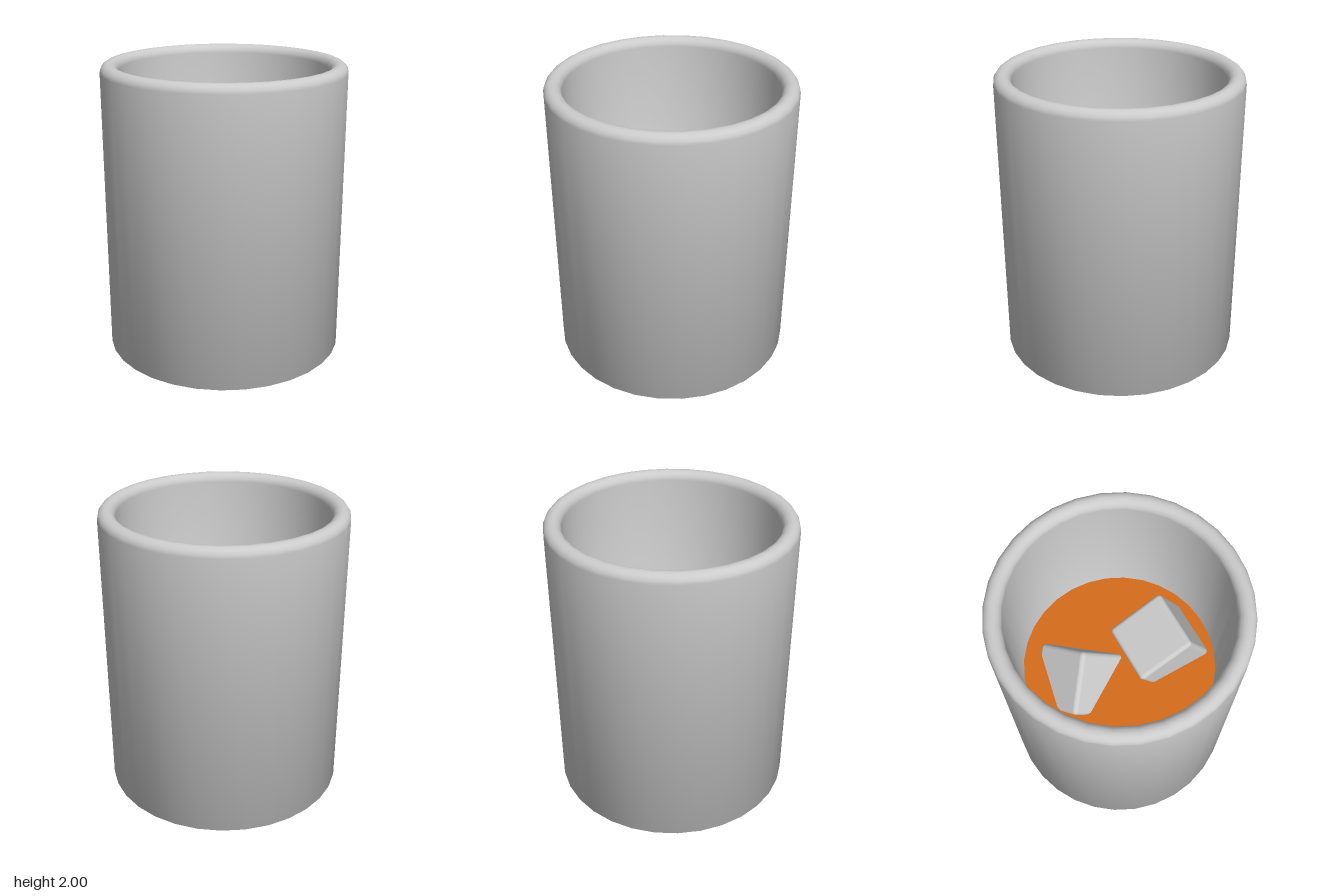
import * as THREE from 'three';
import { RoundedBoxGeometry } from 'three/addons/geometries/RoundedBoxGeometry.js';

const SIDES = 32;
const FLOOR = 0.12, LEVEL = 1.0;        // inner floor and liquid surface
const OUTER = 0.822, RIM = 0.058;       // outer radius, radius of the rounded rim
const SKEW = { x: 0.034, z: -0.028 };   // the cavity leans slightly off centre at its floor

const grey = () => new THREE.MeshStandardMaterial({ color: 0xcccccc });

function lathe(points) {
  return new THREE.LatheGeometry(points.map(([r, y]) => new THREE.Vector2(r, y)), SIDES);
}

// Thick-walled tumbler with a rounded lip and a tapering cavity
function buildGlass() {
  const profile = [[0, 0], [OUTER, 0]];
  const rimSteps = 8;
  for (let i = 0; i <= rimSteps; i++) {
    const a = (i / rimSteps) * Math.PI;
    profile.push([OUTER - RIM + RIM * Math.cos(a), 2 - RIM + RIM * Math.sin(a)]);
  }
  profile.push([0.64, FLOOR], [0, FLOOR]);
  const geo = lathe(profile);
  const p = geo.attributes.position;
  for (let i = 0; i < p.count; i++) {
    if (Math.abs(p.getY(i) - FLOOR) < 1e-4) {
      p.setX(i, p.getX(i) + SKEW.x);
      p.setZ(i, p.getZ(i) + SKEW.z);
    }
  }
  const mesh = new THREE.Mesh(geo, grey());
  mesh.name = 'glass';
  return mesh;
}

// Drink filling the cavity: a tapered body closed at both ends
function buildLiquid() {
  const geo = new THREE.CylinderGeometry(0.674, 0.63, LEVEL - FLOOR - 0.01, SIDES);
  const mesh = new THREE.Mesh(geo, new THREE.MeshStandardMaterial({ color: 0xd66c1b }));
  mesh.position.set(SKEW.x / 2, (LEVEL + FLOOR + 0.01) / 2, SKEW.z / 2);
  mesh.name = 'liquid';
  return mesh;
}

// Rounded ice cube turned so its local x and y follow the given directions
function buildIce(name, size, center, xDir, yDir) {
  const x = new THREE.Vector3(...xDir).normalize();
  const z = x.clone().cross(new THREE.Vector3(...yDir)).normalize();
  const y = z.clone().cross(x);
  const mesh = new THREE.Mesh(new RoundedBoxGeometry(size, size, size, 3, 0.03), grey());
  mesh.quaternion.setFromRotationMatrix(new THREE.Matrix4().makeBasis(x, y, z));
  mesh.position.set(...center);
  mesh.name = name;
  return mesh;
}

export function createModel() {
  const group = new THREE.Group();
  group.name = 'drinkWithIce';
  const c = Math.cos(0.436), s = Math.sin(0.436);
  group.add(
    buildGlass(),
    buildLiquid(),
    // sunk cube with one corner pointing up
    buildIce('iceCubeCornerUp', 0.435, [-0.216, LEVEL - 0.095, -0.19],
      [-0.247, 0.3, -0.18], [0.05, 0.255, 0.34]),
    // floating cube tipped to one side
    buildIce('iceCubeTipped', 0.43, [0.295, LEVEL + 0.09, 0.13],
      [0.917 * c, s, 0.4 * c], [-0.917 * s, c, -0.4 * s]),
  );
  return group;
}
